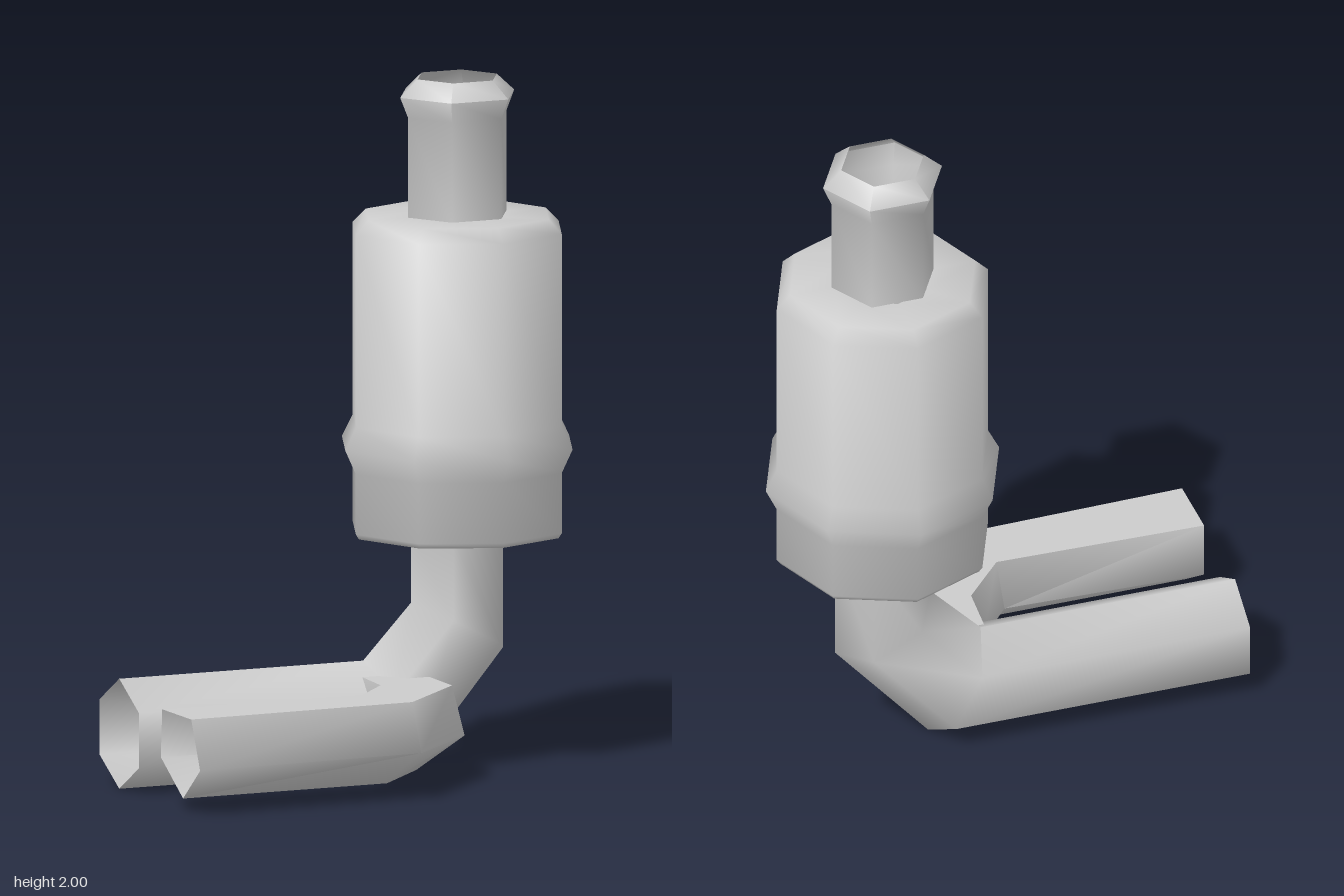
import * as THREE from 'three';
import { toCreasedNormals } from 'three/addons/utils/BufferGeometryUtils.js';

const material = new THREE.MeshStandardMaterial({ color: 0xcccccc, side: THREE.DoubleSide });
const CREASE = 1.3;

function addMesh(group, name, geometry) {
  const mesh = new THREE.Mesh(toCreasedNormals(geometry, CREASE), material);
  mesh.name = name;
  group.add(mesh);
  return mesh;
}

// Faceted turned part from [radius, y] pairs
function turned(profile, sides, start) {
  const points = profile.map(([r, y]) => new THREE.Vector2(r, y));
  return new THREE.LatheGeometry(points, sides, start);
}

// Open tube through rings; each ring has a centre c and the axes side and up.
// The section lists [side, up] factors, counter-clockwise.
function mitredTube(section, rings) {
  const positions = [];
  const index = [];
  const n = section.length;
  rings.forEach(({ c, side, up }, k) => {
    for (const [s, t] of section) {
      for (let a = 0; a < 3; a++) positions.push(c[a] + s * side[a] + t * up[a]);
    }
    if (k === 0) return;
    for (let i = 0; i < n; i++) {
      const j = (i + 1) % n;
      const a = (k - 1) * n + i, b = (k - 1) * n + j;
      const d = k * n + i, e = k * n + j;
      index.push(a, d, e, a, e, b);
    }
  });
  const geometry = new THREE.BufferGeometry();
  geometry.setAttribute('position', new THREE.Float32BufferAttribute(positions, 3));
  geometry.setIndex(index);
  geometry.computeVertexNormals();
  return geometry;
}

export function createModel() {
  const group = new THREE.Group();
  const cx = 0.367, cz = -0.112;

  // Octagonal canister with bevelled ends and a raised band
  const canister = addMesh(group, 'canister', turned([
    [0.14, 0.675], [0.31, 0.675], [0.32, 0.69], [0.32, 0.865],
    [0.353, 0.935], [0.32, 1.0], [0.32, 1.56], [0.28, 1.6], [0.14, 1.6],
  ], 8, 0));
  canister.position.set(cx, 0, cz);

  // Hexagonal outlet with a flared lip
  const neck = addMesh(group, 'outletNeck', turned([
    [0.155, 1.59], [0.155, 1.89], [0.18, 1.95], [0.125, 2.0],
  ], 6, Math.PI / 2));
  neck.position.set(cx, 0, cz);

  // Main pipe: runs along x, then bends up into the canister
  const hexagon = [];
  for (let i = 0; i < 6; i++) {
    const a = Math.PI / 2 + (i * Math.PI) / 3;
    hexagon.push([Math.cos(a), Math.sin(a)]);
  }
  const across = [0, 0, 0.157];
  addMesh(group, 'mainPipe', mitredTube(hexagon, [
    { c: [-0.70, 0.162, cz], side: across, up: [0, 0.16, 0] },
    { c: [0.15, 0.162, cz], side: across, up: [-0.08, 0.16, 0] },
    { c: [0.366, 0.405, cz], side: across, up: [-0.145, 0.075, 0] },
    { c: [0.366, 0.69, cz], side: across, up: [-0.145, 0, 0] },
  ]));

  // Branch pipe: runs beside the main pipe and turns back into its bend
  const pentagon = [[0.74, 1], [-0.74, 1], [-1, -0.18], [0, -1], [1, -0.18]];
  const upright = [0, 0.123, 0];
  addMesh(group, 'branchPipe', mitredTube(pentagon, [
    { c: [-0.71, 0.162, 0.327], side: [0, 0, 0.135], up: [-0.01, 0.123, 0] },
    { c: [-0.055, 0.162, 0.325], side: [0.055, 0, 0.115], up: upright },
    { c: [0.12, 0.162, 0.145], side: [0.125, 0, 0.06], up: upright },
    { c: [0.13, 0.162, -0.08], side: [0.12, 0, 0], up: upright },
  ]));

  return group;
}
